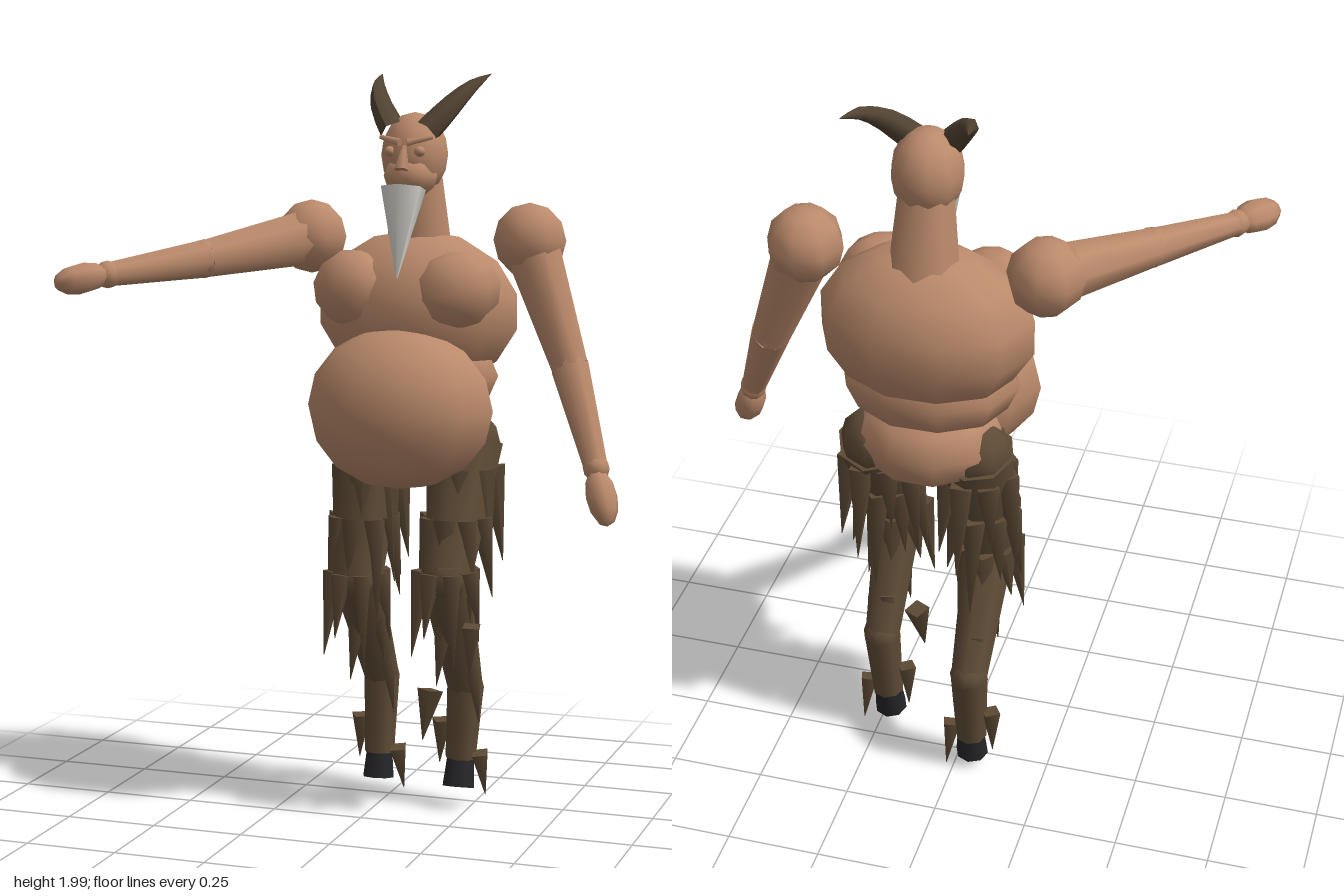
import * as THREE from 'three';

const paint = (name, color, side = THREE.FrontSide) => {
  const m = new THREE.MeshStandardMaterial({ color, side });
  m.name = name;
  return m;
};
const V = (p) => new THREE.Vector3(...p);
const UP = new THREE.Vector3(0, 1, 0);
const MID = 0.088; // x of the body's centre line

export function createModel() {
  const model = new THREE.Group();
  model.name = 'satyr';
  const skin = paint('skin', 0xbb8a6b);
  const fur = paint('fur', 0x5e4b36, THREE.DoubleSide);
  const horn = paint('horn', 0x534433);
  const hoof = paint('hoof', 0x26262a);
  const beardWhite = paint('beardWhite', 0xdcd9d2);

  const add = (name, geo, mat, parent = model) => {
    const mesh = new THREE.Mesh(geo, mat);
    mesh.name = name;
    parent.add(mesh);
    return mesh;
  };
  const group = (name) => {
    const g = new THREE.Group();
    g.name = name;
    model.add(g);
    return g;
  };
  // Low-poly ellipsoid, optionally with its long axis along a direction
  const ball = (name, pos, radii, mat, parent, dir, w = 8, h = 6) => {
    const mesh = add(name, new THREE.SphereGeometry(1, w, h), mat, parent);
    mesh.scale.set(...radii);
    mesh.position.set(...pos);
    if (dir) mesh.quaternion.setFromUnitVectors(UP, dir.clone().normalize());
    return mesh;
  };
  // Tapered limb from a (radius ra) to b (radius rb)
  const limb = (name, a, b, ra, rb, mat, parent, sides = 8) => {
    const d = V(b).sub(V(a));
    const mesh = add(name, new THREE.CylinderGeometry(rb, ra, d.length(), sides), mat, parent);
    mesh.position.copy(V(a).addScaledVector(d, 0.5));
    mesh.quaternion.setFromUnitVectors(UP, d.normalize());
    return mesh;
  };

  // Torso
  const torso = group('torso');
  ball('chest', [MID, 1.37, -0.215], [0.285, 0.215, 0.205], skin, torso, null, 10, 7);
  ball('waist', [MID, 1.2, -0.19], [0.235, 0.14, 0.185], skin, torso, null, 10, 6);
  ball('hips', [MID, 1.04, -0.2], [0.2, 0.14, 0.185], skin, torso, null, 10, 6);
  ball('belly', [MID, 1.12, -0.06], [0.258, 0.217, 0.205], skin, torso, null, 10, 8);
  for (const s of [-1, 1]) {
    const pec = ball('pec', [MID + s * 0.142, 1.43, -0.105], [0.12, 0.105, 0.1], skin, torso);
    pec.rotation.set(0, s * 0.35, s * 0.2);
  }

  // Head
  const head = group('head');
  limb('neck', [MID, 1.5, -0.235], [MID, 1.75, -0.2], 0.095, 0.07, skin, head);
  ball('skull', [MID, 1.785, -0.188], [0.092, 0.112, 0.102], skin, head, null, 10, 8);
  ball('jaw', [MID, 1.73, -0.15], [0.075, 0.06, 0.08], skin, head);
  limb('nose', [MID, 1.81, -0.09], [MID, 1.748, -0.07], 0.008, 0.021, skin, head, 5);
  for (const s of [-1, 1]) {
    ball('eye', [MID + s * 0.041, 1.795, -0.1], [0.016, 0.014, 0.016], skin, head);
    limb('brow', [MID + s * 0.01, 1.818, -0.088], [MID + s * 0.072, 1.832, -0.115], 0.011, 0.006, skin, head, 5);
  }
  const beard = limb('beard', [MID, 1.70, -0.09], [MID, 1.465, -0.035], 0.062, 0.002, beardWhite, head, 6);
  beard.scale.z = 0.9;

  // Swept horns: a tube tapering to a point
  for (const s of [-1, 1]) {
    const path = new THREE.CatmullRomCurve3([
      [0.045, 1.845, -0.145], [0.095, 1.91, -0.195], [0.13, 1.962, -0.27], [0.155, 1.998, -0.378],
    ].map(([x, y, z]) => new THREE.Vector3(MID + s * x, y, z)));
    const rings = 6, sides = 6;
    const geo = new THREE.TubeGeometry(path, rings, 0.036, sides);
    const p = geo.attributes.position, v = new THREE.Vector3();
    for (let i = 0; i < p.count; i++) {
      const t = Math.floor(i / (sides + 1)) / rings;
      const c = path.getPointAt(t);
      v.fromBufferAttribute(p, i).sub(c).multiplyScalar(1 - 0.98 * t ** 1.5).add(c);
      p.setXYZ(i, v.x, v.y, v.z);
    }
    geo.computeVertexNormals();
    add('horn', geo, horn, head);
  }

  // Arms: the right one points forward, the left one hangs
  const arms = {
    rightArm: [[-0.22, 1.56, -0.23], [-0.42, 1.512, 0.055], [-0.595, 1.482, 0.285], [-0.638, 1.475, 0.352]],
    leftArm: [[0.395, 1.56, -0.23], [0.525, 1.235, -0.165], [0.625, 0.985, -0.06], [0.648, 0.915, -0.03]],
  };
  for (const [name, [shoulder, elbow, wrist, hand]] of Object.entries(arms)) {
    const arm = group(name);
    ball('shoulder', shoulder, [0.1, 0.1, 0.1], skin, arm);
    limb('upperArm', shoulder, elbow, 0.08, 0.052, skin, arm);
    ball('elbow', elbow, [0.052, 0.052, 0.052], skin, arm);
    limb('forearm', elbow, wrist, 0.052, 0.032, skin, arm);
    ball('wrist', wrist, [0.036, 0.036, 0.036], skin, arm);
    ball('hand', hand, [0.047, 0.08, 0.04], skin, arm, V(hand).sub(V(wrist)));
  }

  // Pointed tuft of fur, wide end up
  const tuft = (top, tip, r, parent) => limb('tuft', top, tip, r, 0.001, fur, parent, 4);

  // Legs: hip, knee, hock, fetlock and toe
  const legs = {
    rightLeg: [[-0.045, 1.01, -0.23], [-0.05, 0.64, -0.12], [-0.045, 0.33, -0.315], [-0.045, 0.11, -0.295], [-0.045, 0.04, -0.285]],
    leftLeg: [[0.225, 1.01, -0.24], [0.22, 0.67, -0.06], [0.23, 0.34, -0.215], [0.22, 0.14, -0.205], [0.22, 0.062, -0.185]],
  };
  for (const [name, [hip, knee, hock, fetlock, toe]] of Object.entries(legs)) {
    const leg = group(name);
    ball('hip', hip, [0.092, 0.092, 0.092], fur, leg);
    limb('thigh', hip, knee, 0.1, 0.072, fur, leg);
    ball('knee', knee, [0.072, 0.072, 0.072], fur, leg);
    limb('shin', knee, hock, 0.07, 0.05, fur, leg);
    ball('hock', hock, [0.053, 0.053, 0.053], fur, leg);
    limb('cannon', hock, fetlock, 0.052, 0.043, fur, leg);
    limb('hoof', fetlock, toe, 0.038, 0.045, hoof, leg);

    // Rings of shaggy tufts: [place along the thigh, count, spread, length, width]
    for (const [t, count, spread, length, width] of [
      [0.18, 7, 0.085, 0.24, 0.04], [0.55, 8, 0.085, 0.22, 0.034], [0.95, 7, 0.075, 0.19, 0.032],
    ]) {
      const c = V(hip).lerp(V(knee), t);
      for (let i = 0; i < count; i++) {
        const a = (i / count) * Math.PI * 2 + t * 3;
        const x = Math.cos(a), z = Math.sin(a);
        const l = length * (1 + 0.3 * Math.sin(i * 2.3 + t * 9));
        tuft([c.x + x * spread * 0.85, c.y, c.z + z * spread],
          [c.x + x * spread * 1.25, c.y - l, c.z + z * spread * 1.35], width, leg);
      }
    }
    // Tufts down the shin
    for (let i = 0; i < 4; i++) {
      const c = V(knee).lerp(V(hock), 0.25 + i * 0.18);
      const a = i * 2.2;
      tuft([c.x + Math.cos(a) * 0.035, c.y, c.z + Math.sin(a) * 0.045],
        [c.x + Math.cos(a) * 0.06, c.y - 0.16, c.z + Math.sin(a) * 0.06], 0.028, leg);
    }
    // Loose tufts beside the fetlock
    for (const [s, y] of [[-1, 0.11], [1, 0.03]]) {
      const x = fetlock[0] + s * 0.058;
      const y0 = fetlock[1] + y - 0.01;
      tuft([x, y0, fetlock[2] + s * 0.01], [x + s * 0.008, y0 - 0.125, fetlock[2] - 0.02], 0.03, leg);
    }
  }
  // Tufts hanging clear of the left knee and hock
  tuft([0.165, 0.35, -0.1], [0.15, 0.215, -0.08], 0.035, model);
  tuft([0.3, 0.55, -0.03], [0.29, 0.4, -0.05], 0.03, model);

  return model;
}
